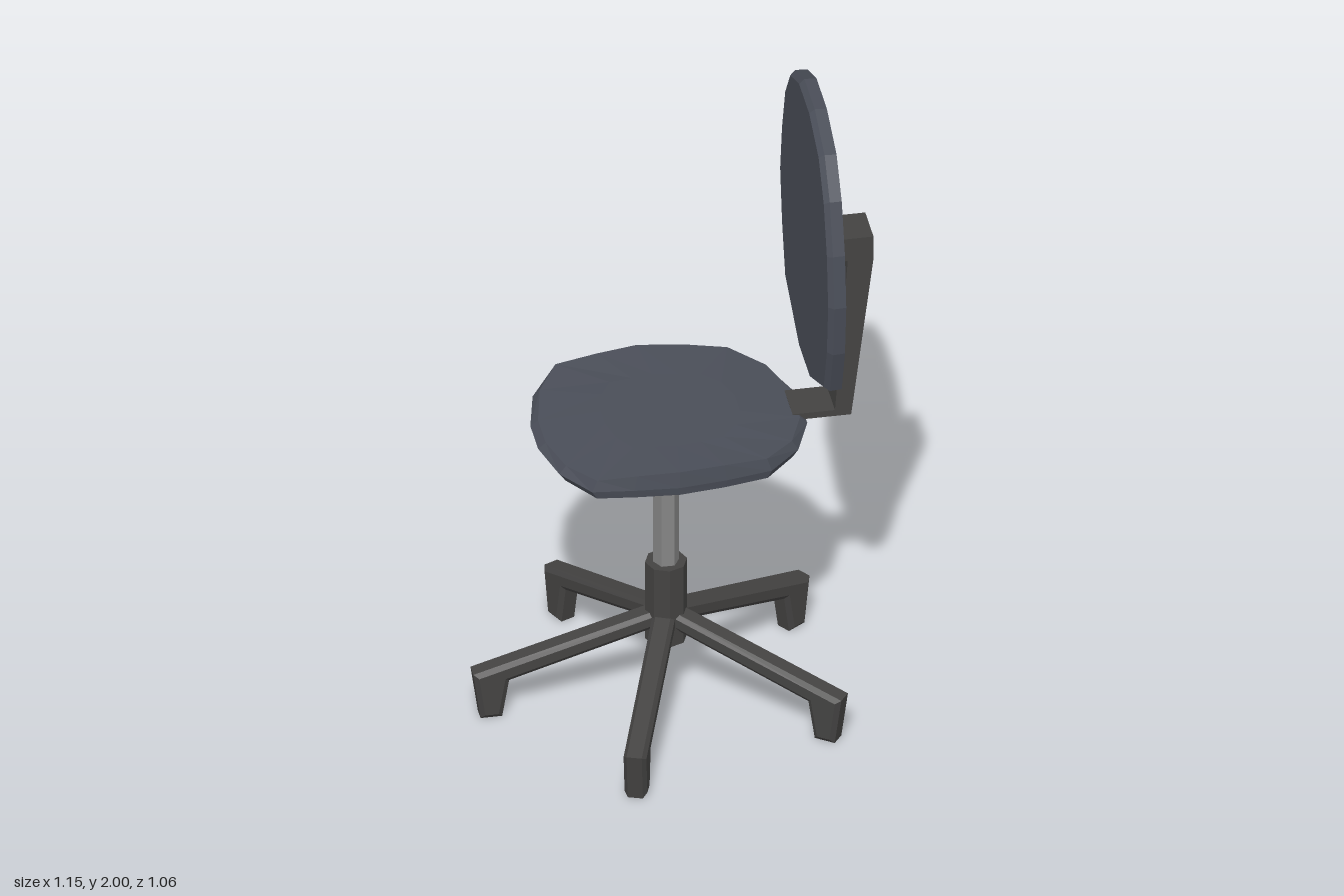
import * as THREE from 'three';

const V = (x, y, z) => new THREE.Vector3(x, y, z);
const mat = (color) => new THREE.MeshStandardMaterial({ color, flatShading: true });
const fabric = mat(0x4a4e58), plastic = mat(0x444342), metal = mat(0x858585);

function add(parent, name, geometry, material) {
  const mesh = new THREE.Mesh(geometry, material);
  mesh.name = name;
  parent.add(mesh);
  return mesh;
}

// Skin a stack of rings and close both ends with fans
function loft(rings, startCentre, endCentre) {
  const pts = [], n = rings[0].length, last = rings[rings.length - 1];
  for (let j = 0; j < n; j++) {
    const k = (j + 1) % n;
    for (let i = 0; i < rings.length - 1; i++) {
      const a = rings[i][j], b = rings[i][k], c = rings[i + 1][k], d = rings[i + 1][j];
      pts.push(a, d, c, a, c, b);
    }
    pts.push(startCentre, rings[0][j], rings[0][k], endCentre, last[k], last[j]);
  }
  const g = new THREE.BufferGeometry().setFromPoints(pts);
  g.computeVertexNormals();
  return g;
}

const shapeOf = (pts) => new THREE.Shape(pts.map(([x, y]) => new THREE.Vector2(x, y)));

export function createModel() {
  const chair = new THREE.Group();
  chair.name = 'officeChair';

  // Seat cushion: outline in x, z
  const seatLine = [
    [-0.40, -0.06], [-0.365, -0.21], [-0.295, -0.32], [-0.165, -0.335], [-0.04, -0.35], [0.10, -0.33],
    [0.23, -0.305], [0.33, -0.21], [0.38, -0.08], [0.38, 0.07], [0.33, 0.20], [0.235, 0.295],
    [0.10, 0.32], [-0.04, 0.335], [-0.17, 0.325], [-0.29, 0.31], [-0.365, 0.20], [-0.40, 0.06],
  ];
  const seatRing = (sx, sz, height) => seatLine.map(([x, z]) => V(x * sx, height(x), z * sz));
  const crown = (x) => 0.98 - 0.2 * x * x;
  add(chair, 'seat', loft([
    seatRing(0.95, 0.99, () => 0.905),
    seatRing(1, 1, () => 0.93),
    seatRing(0.945, 0.98, crown),
    seatRing(0.5, 0.55, () => 0.975),
  ], V(0, 0.905, 0), V(0, 0.975, 0)), fabric);

  // Backrest: outline in z, y
  const backLine = [
    [-0.09, 1.08], [0.08, 1.08], [0.30, 1.185], [0.35, 1.34], [0.37, 1.51], [0.35, 1.675],
    [0.30, 1.83], [0.22, 1.94], [0.07, 2.0], [-0.09, 2.0], [-0.23, 1.94], [-0.31, 1.83],
    [-0.36, 1.675], [-0.39, 1.51], [-0.36, 1.34], [-0.31, 1.185],
  ];
  const backRing = (x, s) => backLine.map(([z, y]) => V(x, 1.54 + (y - 1.54) * s, z * s));
  add(chair, 'backrest', loft([
    backRing(0.386, 0.97), backRing(0.402, 1), backRing(0.437, 0.995), backRing(0.461, 0.6),
  ], V(0.386, 1.54, 0), V(0.461, 1.54, 0)), fabric);

  // Bent bracket from the seat to the backrest
  const bracket = new THREE.ExtrudeGeometry(shapeOf([
    [0.34, 0.935], [0.51, 0.935], [0.575, 1.46], [0.575, 1.535], [0.44, 1.535],
    [0.44, 1.463], [0.50, 1.46], [0.463, 0.955], [0.34, 0.955],
  ]), { depth: 0.127, bevelEnabled: false });
  add(chair, 'backBracket', bracket.translate(0, 0, -0.07), plastic);

  // Column and hub
  const base = new THREE.Group();
  base.name = 'base';
  base.position.set(-0.016, 0, -0.006);
  chair.add(base);
  const post = new THREE.CylinderGeometry(0.038, 0.038, 0.48, 6).rotateY(Math.PI / 2);
  add(base, 'column', post, metal).position.y = 0.67;
  add(base, 'hub', new THREE.CylinderGeometry(0.061, 0.061, 0.26, 8), plastic).position.y = 0.33;

  // Five sloping legs, each ending in a tapered foot
  const leg = new THREE.ExtrudeGeometry(shapeOf([
    [0, 0.315], [0, 0.26], [0.46, 0.12], [0.48, 0], [0.543, 0], [0.564, 0.15],
  ]), { depth: 0.044, bevelThickness: 0.011, bevelSize: 0.014, bevelOffset: -0.014, bevelSegments: 1 });
  leg.translate(0, 0, -0.022);
  for (const degrees of [180, 115, 35, -36, -110]) {
    add(base, 'leg', leg, plastic).rotation.y = THREE.MathUtils.degToRad(degrees);
  }
  return chair;
}
